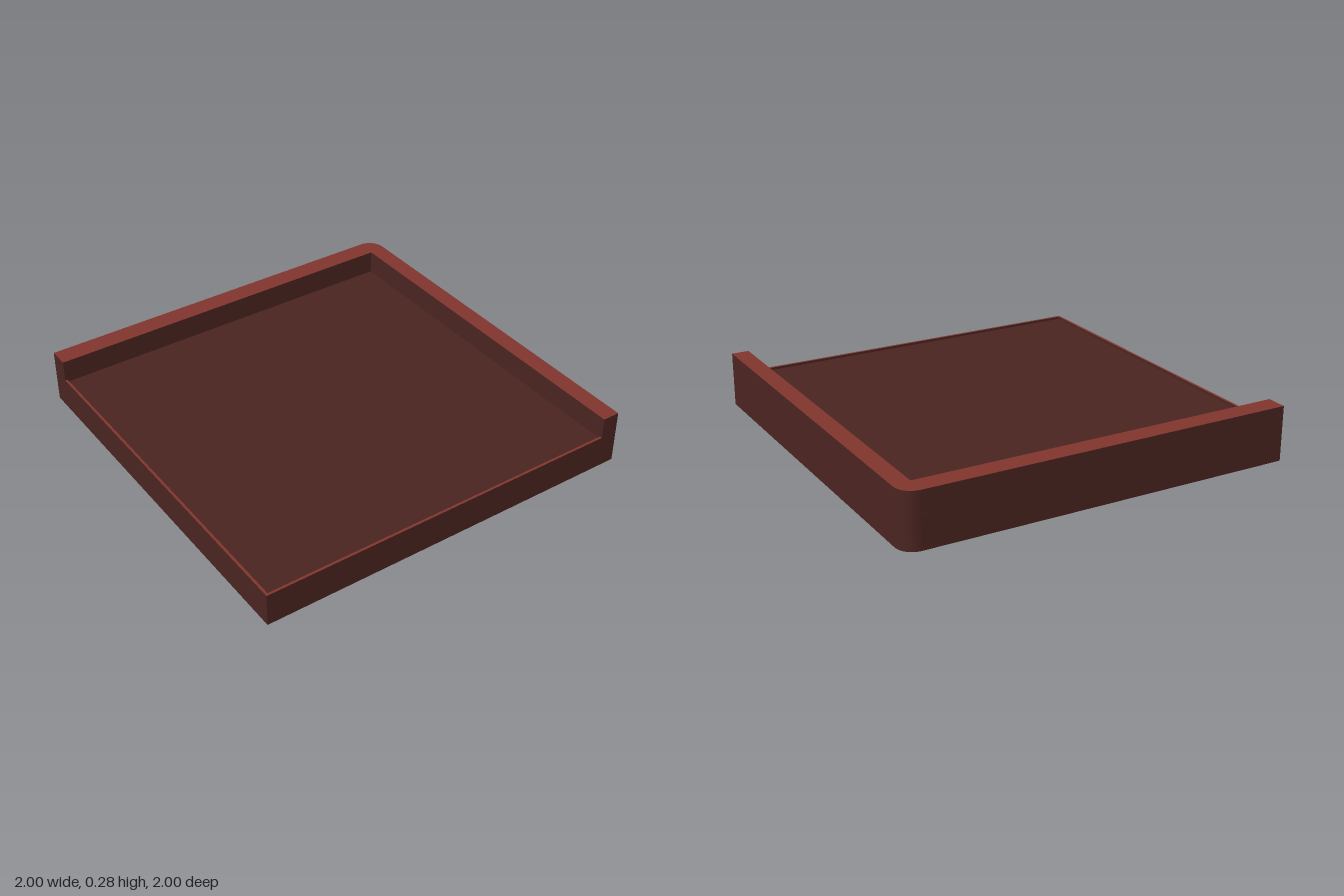
import * as THREE from 'three';
import { toCreasedNormals } from 'three/addons/utils/BufferGeometryUtils.js';

const dark = new THREE.MeshStandardMaterial({ color: 0x4a2420 });
const light = new THREE.MeshStandardMaterial({ color: 0x80352d });

const FLOOR = 0.157, LIP = 0.17, TOP = 0.28;
const RADIUS = 0.085; // rounded back left corner
const INNER_X = 0.91, INNER_Z = -0.895; // inner faces of the tall walls
const LIP_W = 0.013, FRONT = 0.995;

// Shapes are drawn on the ground plan with y = -z.
function startAroundCorner(shape) {
  shape.lineTo(1, 1 - RADIUS);
  shape.absarc(1 - RADIUS, 1 - RADIUS, RADIUS, 0, Math.PI / 2, false);
  shape.lineTo(-1, 1);
}

function slab(name, shape, y0, y1, capMaterial) {
  let geo = new THREE.ExtrudeGeometry(shape, { depth: y1 - y0, bevelEnabled: false, curveSegments: 12 });
  geo.rotateX(-Math.PI / 2);
  geo.translate(0, y0, 0);
  geo = toCreasedNormals(geo, 0.6);
  const mesh = new THREE.Mesh(geo, [capMaterial, dark]);
  mesh.name = name;
  return mesh;
}

export function createModel() {
  const group = new THREE.Group();
  group.name = 'cornerTray';

  // Solid base with one rounded corner
  const base = new THREE.Shape();
  base.moveTo(1, -FRONT);
  startAroundCorner(base);
  base.lineTo(-1, -FRONT);
  base.closePath();
  group.add(slab('base', base, 0, FLOOR, dark));

  // Tall L-shaped wall along the back and the left side
  const wall = new THREE.Shape();
  wall.moveTo(1, -FRONT);
  startAroundCorner(wall);
  wall.lineTo(-1, -INNER_Z);
  wall.lineTo(INNER_X, -INNER_Z);
  wall.lineTo(INNER_X, -FRONT);
  wall.closePath();
  group.add(slab('cornerWall', wall, FLOOR, TOP, light));

  // Thin low lip along the two open sides
  const lip = new THREE.Shape();
  lip.moveTo(-1, -INNER_Z);
  lip.lineTo(-1, -FRONT);
  lip.lineTo(INNER_X, -FRONT);
  lip.lineTo(INNER_X, -FRONT + LIP_W);
  lip.lineTo(-1 + LIP_W, -FRONT + LIP_W);
  lip.lineTo(-1 + LIP_W, -INNER_Z);
  lip.closePath();
  group.add(slab('openSideLip', lip, FLOOR, LIP, light));

  return group;
}
